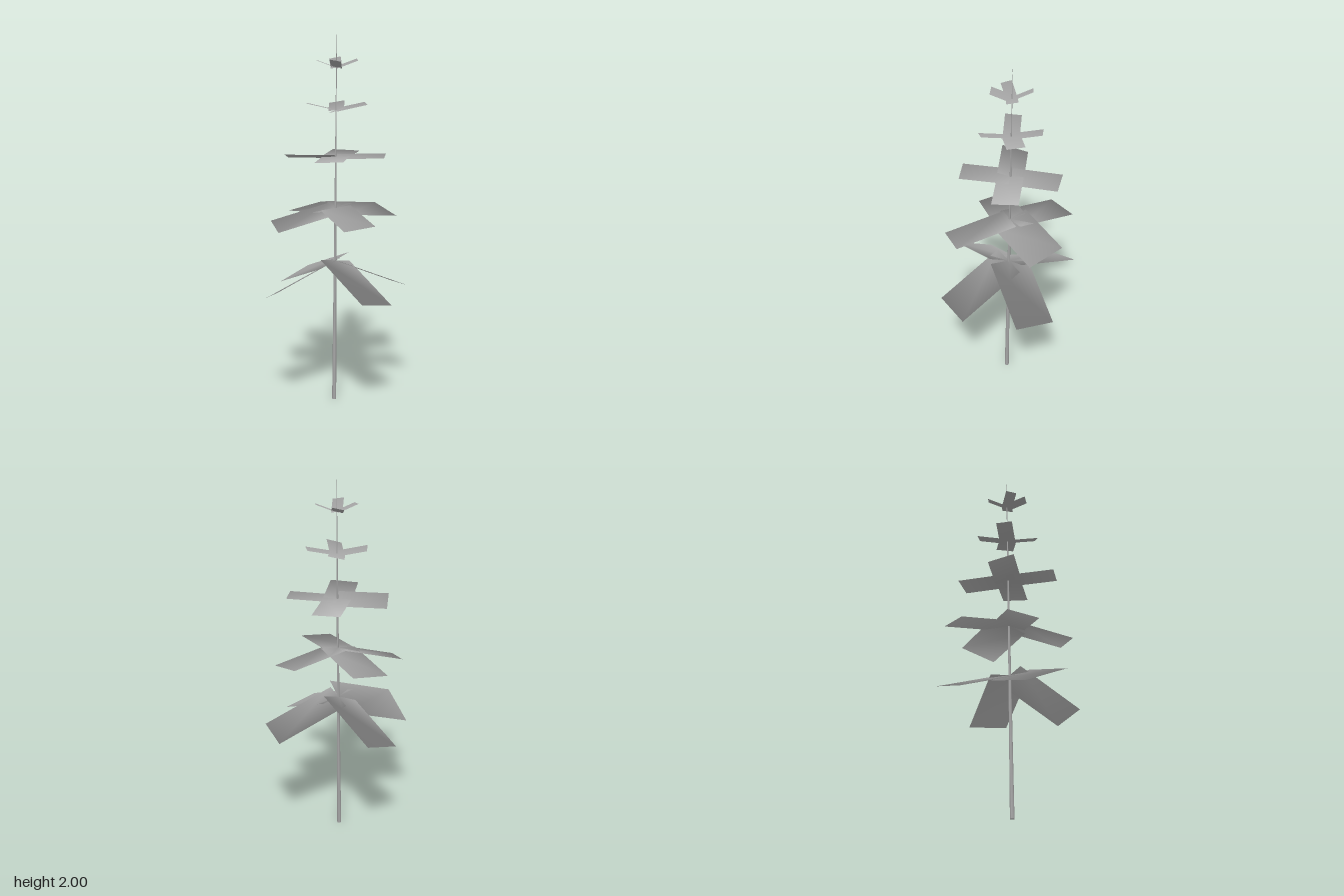
import * as THREE from 'three';

// Stem line: leans slightly from base to tip
const BASE = new THREE.Vector3(-0.01, 0, 0.012);
const TIP = new THREE.Vector3(0.01, 2, -0.015);
const stemAt = (y) => BASE.clone().lerp(TIP, y / 2);

// Foliage is softly shaded as if it lay on one big rounded crown
const CROWN = stemAt(0.9);
const CROWN_NORMAL_SCALE = new THREE.Vector3(1, 0.5, 1);

// Each tier: height on the stem, then the two outer corners of its four leaves
const TIERS = [
  { y: 0.79, leaves: [
    [[-0.25, 0.605, -0.3], [-0.07, 0.665, -0.4]],
    [[-0.35, 0.7, 0.23], [-0.395, 0.6, 0.01]],
    [[0.23, 0.61, 0.315], [0.05, 0.645, 0.395]],
    [[0.355, 0.615, -0.155], [0.393, 0.64, 0.058]],
  ] },
  { y: 1.08, leaves: [
    [[-0.2, 1.015, -0.292], [0, 1.045, -0.355]],
    [[-0.329, 0.98, 0.093], [-0.339, 1.01, -0.078]],
    [[0.138, 1.04, 0.317], [-0.033, 1.025, 0.345]],
    [[0.278, 1.055, -0.216], [0.348, 1.015, -0.023]],
  ] },
  { y: 1.358, leaves: [
    [[0.05, 1.355, -0.277], [0.185, 1.352, -0.21]],
    [[-0.27, 1.375, -0.03], [-0.225, 1.337, -0.161]],
    [[-0.02, 1.373, 0.264], [-0.162, 1.365, 0.211]],
    [[0.274, 1.37, 0.019], [0.227, 1.365, 0.15]],
  ] },
  { y: 1.607, leaves: [
    [[0.007, 1.625, -0.18], [0.086, 1.64, -0.152]],
    [[-0.155, 1.645, -0.017], [-0.13, 1.637, -0.1]],
    [[0.027, 1.64, 0.152], [-0.054, 1.615, 0.15]],
    [[0.17, 1.642, -0.042], [0.162, 1.637, 0.053]],
  ] },
  { y: 1.83, leaves: [
    [[-0.005, 1.867, -0.125], [0.054, 1.88, -0.11]],
    [[-0.094, 1.867, 0.021], [-0.1, 1.872, -0.038]],
    [[0.005, 1.87, 0.101], [-0.05, 1.88, 0.078]],
    [[0.12, 1.875, -0.017], [0.112, 1.868, 0.042]],
  ] },
];

// Four-cornered leaf card, inner edge centred on the stem, with rounded crown normals
function leafGeometry(root, left, right) {
  const a = new THREE.Vector3(...left);
  const b = new THREE.Vector3(...right);
  const half = b.clone().sub(a).multiplyScalar(0.5);
  const corners = [a, b, root.clone().add(half), root.clone().sub(half)];
  const normals = corners.flatMap((p) =>
    p.clone().sub(CROWN).multiply(CROWN_NORMAL_SCALE).normalize().toArray());
  const geometry = new THREE.BufferGeometry().setFromPoints(corners);
  geometry.setAttribute('normal', new THREE.Float32BufferAttribute(normals, 3));
  geometry.setIndex([0, 2, 1, 0, 3, 2]);
  return geometry;
}

export function createModel() {
  const group = new THREE.Group();
  group.name = 'tree';
  const grey = new THREE.MeshStandardMaterial({ color: 0xa6a6a6, side: THREE.DoubleSide });
  grey.name = 'grey';

  // Thin tapering stem
  const axis = TIP.clone().sub(BASE);
  const stem = new THREE.Mesh(new THREE.CylinderGeometry(0.001, 0.012, axis.length(), 6), grey);
  stem.name = 'stem';
  stem.position.copy(stemAt(1));
  stem.quaternion.setFromUnitVectors(new THREE.Vector3(0, 1, 0), axis.normalize());
  group.add(stem);

  // Whorls of four leaves
  TIERS.forEach(({ y, leaves }, i) => {
    const tier = new THREE.Group();
    tier.name = `leafTier${i + 1}`;
    for (const [left, right] of leaves) {
      const leaf = new THREE.Mesh(leafGeometry(stemAt(y), left, right), grey);
      leaf.name = 'leaf';
      tier.add(leaf);
    }
    group.add(tier);
  });
  return group;
}
